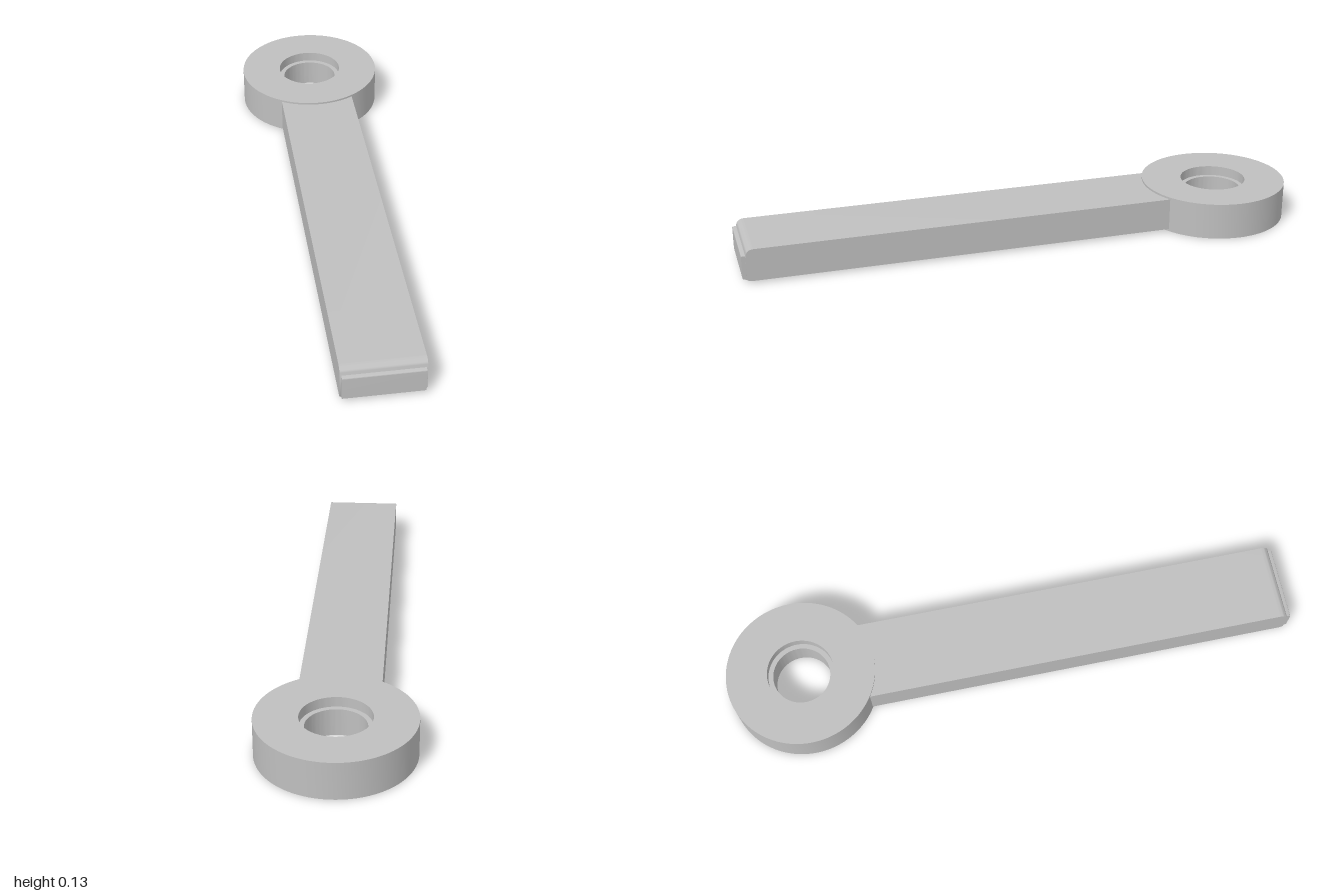
import * as THREE from 'three';
import { toCreasedNormals } from 'three/addons/utils/BufferGeometryUtils.js';

export function createModel() {
  const model = new THREE.Group();
  const steel = new THREE.MeshStandardMaterial({ color: 0xbfbfbf });
  steel.name = 'grey steel';

  function add(name, geometry) {
    const mesh = new THREE.Mesh(toCreasedNormals(geometry, Math.PI / 6), steel);
    mesh.name = name;
    model.add(mesh);
    return mesh;
  }

  // Extrudes a (z, y) side profile across the width, centred on x = 0
  function acrossWidth(shape, width) {
    const g = new THREE.ExtrudeGeometry(shape, { depth: width, bevelEnabled: false, curveSegments: 10 });
    return g.translate(0, 0, -width / 2).rotateY(-Math.PI / 2);
  }

  // Ring with a through hole and a shallow counterbore on top
  const ringProfile = [
    [0.26, 0], [0.26, 0.13], [0.117, 0.13], [0.117, 0.095],
    [0.1, 0.095], [0.1, 0], [0.26, 0],
  ].map(([r, y]) => new THREE.Vector2(r, y));
  add('eyeRing', new THREE.LatheGeometry(ringProfile, 96)).position.z = -0.74;

  // Long flat bar, rounded on the upper front edge, ending inside the ring wall
  const bar = new THREE.Shape();
  bar.moveTo(-0.57, 0.008);
  bar.lineTo(0.97, 0.008);
  bar.quadraticCurveTo(0.985, 0.009, 0.986, 0.017);
  bar.lineTo(0.986, 0.1);
  bar.quadraticCurveTo(0.982, 0.123, 0.957, 0.123);
  bar.lineTo(-0.57, 0.123);
  bar.closePath();
  add('bar', acrossWidth(bar, 0.27));

  // Slightly narrower end pad with a bevelled lower edge
  const pad = new THREE.Shape();
  pad.moveTo(0.96, 0.011);
  pad.lineTo(0.984, 0.011);
  pad.lineTo(1, 0.017);
  pad.lineTo(1, 0.095);
  pad.quadraticCurveTo(1, 0.099, 0.996, 0.099);
  pad.lineTo(0.96, 0.099);
  pad.closePath();
  add('endPad', acrossWidth(pad, 0.26));

  return model;
}
